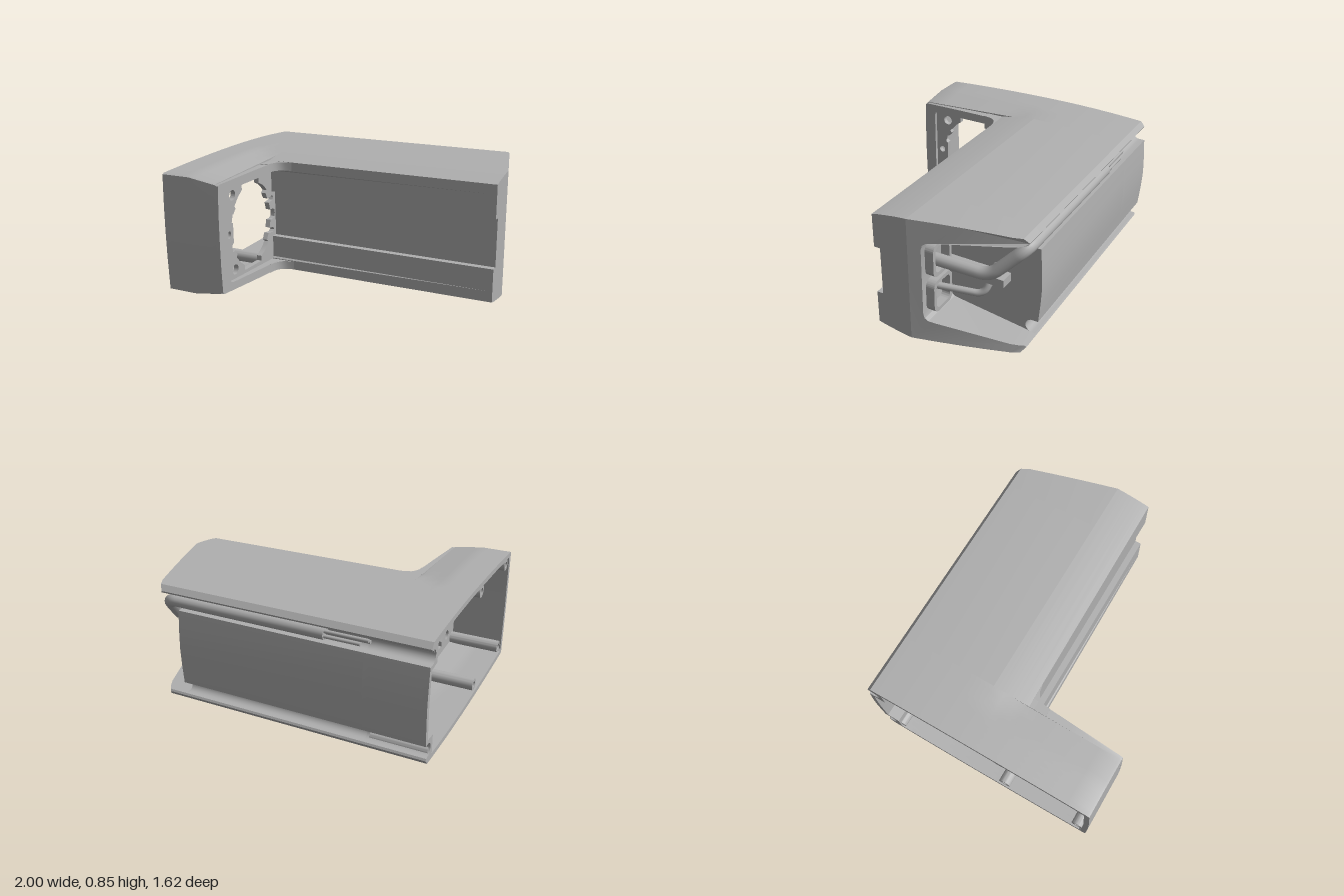
import * as THREE from 'three';
import { toCreasedNormals } from 'three/addons/utils/BufferGeometryUtils.js';

const H = 0.845, MID = H / 2;
const clamp = THREE.MathUtils.clamp;

// Gently crowned roof height, and the bevel along the inner corner of the L
const roof = z => H - 0.027 * ((z + 0.1) / (z > -0.1 ? 0.9 : 0.67)) ** 2;
const slope = z => clamp((z + 0.1) / 0.24, 0, 1) ** 1.3;
const bevel = (x, z) => 0.035 * Math.min(clamp((x + 0.8) / 0.22, 0, 1), slope(z));

// Slanted outline of the free end, rounded at the back corner
const endX = z => z > -0.1 ? 1 : z > -0.7 ? 1 - 0.155 * (-0.1 - z) / 0.6 : 0.845 - 0.05 * ((-0.7 - z) / 0.085) ** 1.5;

// Closes an upper half outline, which starts and ends at mid height, with its mirror image
const mirrored = half => half.concat(half.slice(1, -1).reverse().map(([z, y]) => [z, H - y]));
const path = (pts, P = THREE.Shape) => new P(pts.map(([z, y]) => new THREE.Vector2(-z, y)).reverse());
const hole = (z, y, r) => new THREE.Path().absarc(-z, y, r, 0, Math.PI * 2, true);

function moveVertices(geo, rule) {
  const p = geo.attributes.position, v = new THREE.Vector3();
  for (let i = 0; i < p.count; i++) {
    v.fromBufferAttribute(p, i);
    rule(v);
    p.setXYZ(i, v.x, v.y, v.z);
  }
  geo.computeVertexNormals();
  return geo;
}

// Sweeps a (z, y) section along x
function sweepX(shape, x0, x1, rule, steps = 1) {
  const g = new THREE.ExtrudeGeometry(shape, { depth: x1 - x0, steps, bevelEnabled: false, curveSegments: 16 });
  g.rotateY(Math.PI / 2).translate(x0, 0, 0);
  if (rule) moveVertices(g, rule);
  return toCreasedNormals(g, 0.5);
}

// Straight runs joined by rounded bends
function bentPath(pts, r) {
  const v = pts.map(p => new THREE.Vector3(...p)), c = new THREE.CurvePath();
  let from = v[0];
  for (let i = 1; i < v.length - 1; i++) {
    const a = v[i].clone().add(v[i - 1].clone().sub(v[i]).setLength(r));
    const b = v[i].clone().add(v[i + 1].clone().sub(v[i]).setLength(r));
    c.add(new THREE.LineCurve3(from, a));
    c.add(new THREE.QuadraticBezierCurve3(a, v[i], b));
    from = b;
  }
  c.add(new THREE.LineCurve3(from, v[v.length - 1]));
  return c;
}

export function createModel() {
  const model = new THREE.Group();
  const grey = new THREE.MeshStandardMaterial({ color: 0xb0b0b0 });
  grey.name = 'grey';
  const add = (name, geo) => {
    const m = new THREE.Mesh(geo, grey);
    m.name = name;
    model.add(m);
    return m;
  };

  const backRoof = [-0.1, -0.25, -0.4, -0.55, -0.7, -0.755].map(z => [z, roof(z)]);
  const frontRoof = [0.785, 0.65, 0.5, 0.35, 0.25, 0.14, 0.06, -0.02].map(z => [z, roof(z)]);
  // Back lip, round groove and bowed panel
  const lip = [[-0.783, 0.785], [-0.776, 0.772]];
  const groove = [];
  for (let i = 0; i <= 10; i++) {
    const a = Math.PI / 2 - Math.PI * i / 10;
    groove.push([-0.755 + 0.045 * Math.cos(a), 0.725 + 0.045 * Math.sin(a)]);
  }
  const backHalf = [...lip, ...groove, [-0.793, 0.68], [-0.804, 0.55], [-0.81, MID]];

  // Hollow, open ended arm housing
  const housing = path(mirrored([[0.81, MID], [0.808, 0.6], [0.8, 0.812], ...frontRoof, ...backRoof, ...backHalf]));
  housing.holes.push(path(mirrored([[0.775, MID], [0.765, 0.77], [0.75, 0.785], [0.45, 0.8], [0.14, 0.808],
    [-0.1, 0.812], [-0.4, 0.806], [-0.68, 0.79], [-0.68, 0.66], [-0.765, 0.65], [-0.775, MID]]), THREE.Path));
  add('armHousing', sweepX(housing, -1, -0.6, v => { v.y -= bevel(v.x, v.z) * (v.y - MID) / MID; }, 10));

  // Screw bosses inside the housing
  for (const [z, y] of [[0.73, 0.74], [0.16, 0.762], [-0.69, 0.77]]) {
    for (const yy of [y, H - y]) {
      const ring = new THREE.Shape().absarc(-z, yy, 0.042, 0, Math.PI * 2);
      ring.holes.push(hole(z, yy, 0.022));
      add('screwBoss', sweepX(ring, -0.99, -0.62));
    }
  }

  // Notched opening plate across the inside of the housing
  const plate = path(mirrored([[0.79, MID], [0.78, 0.76], [0.15, 0.79], [-0.1, 0.82], [-0.69, 0.8],
    [-0.69, 0.67], [-0.78, 0.66], [-0.78, MID]]));
  const notches = [[0.105, 0], [0.11, 0.025], [0.13, 0.037], [0.165, 0.037], [0.18, 0.09], [0.13, 0.1],
    [0.12, 0.12], [0.137, 0.133], [0.197, 0.125], [0.22, 0.168], [0.2, 0.185], [0.225, 0.212], [0.26, 0.24],
    [0.302, 0.26], [0.302, 0.295], [0.507, 0.295], [0.507, 0.26], [0.555, 0.225], [0.6, 0.175], [0.59, 0.155],
    [0.615, 0.125], [0.64, 0.125], [0.645, 0.08], [0.625, 0.065], [0.625, 0]];
  plate.holes.push(path(mirrored(notches.map(([z, y]) => [z, MID + y])), THREE.Path));
  plate.holes.push(hole(0.62, 0.675, 0.034), hole(0.675, MID, 0.024), hole(0.62, H - 0.675, 0.034));
  add('openingPlate', sweepX(plate, -0.635, -0.6));

  // Raised frame around the opening, sloping outward towards the corner
  const frame = path(mirrored([[0.81, MID], [0.808, 0.6], [0.8, 0.778], [0.785, 0.785], [0.45, 0.799],
    [0.15, 0.808], [0.15, 0.75], [0.69, 0.735], [0.712, 0.728], [0.72, 0.705], [0.72, MID]]));
  add('openingFrame', sweepX(frame, -0.605, -0.58, v => {
    if (v.x > -0.59) v.x = -0.58 + (0.8 - Math.min(v.z, 0.8)) * 0.065;
  }));

  // Rounded inner corner of the top and bottom lips
  const fillet = new THREE.Shape([[-0.6, 0.13], [-0.6, 0.27], [-0.545, 0.27], [-0.54, 0.23], [-0.527, 0.197],
    [-0.505, 0.172], [-0.475, 0.158], [-0.43, 0.15], [-0.43, 0.13]].map(([x, z]) => new THREE.Vector2(x, -z)));
  for (const y of [0.75, H - 0.807]) {
    const g = new THREE.ExtrudeGeometry(fillet, { depth: 0.057, bevelEnabled: false });
    g.rotateX(-Math.PI / 2).translate(0, y, 0);
    add('cornerFillet', toCreasedNormals(g, 0.6));
  }

  // Front of the long beam with its channel, and a panel that runs out towards the free end
  const frontSlope = [0.15, 0.1, 0.05, 0, -0.05, -0.1].map(z => [z, H - 0.037 * ((z + 0.1) / 0.25) ** 1.3]);
  add('beamFront', sweepX(path(mirrored([[0.095, MID], [0.095, 0.585], [0.138, 0.585], [0.138, 0.735],
    [0.15, 0.745], ...frontSlope, [-0.1, MID]])), -0.6, 1, v => { if (v.x > 0.9 && v.z > 0.12) v.z = 0.138; }));

  // Back of the long beam with grooves and panel
  add('beamBack', sweepX(path(mirrored([[-0.1, MID], ...backRoof, ...backHalf])), -0.6, 0.67));

  // Slanted free end with a pocket between its two jaws
  const jaws = path(mirrored([[-0.1, MID], ...backRoof, ...lip, [-0.755, 0.768],
    [-0.7, 0.76], [-0.25, 0.705], [-0.21, 0.698], [-0.188, 0.68], [-0.18, 0.65], [-0.18, MID]]));
  add('beamEnd', sweepX(jaws, 0.67, 1, v => { if (v.x > 0.9) v.x = endX(v.z); }));

  // Connector sockets on the pocket wall
  const roundRect = (P, w, h, r) => {
    const s = new P();
    [[1, 1, 0], [-1, 1, 1], [-1, -1, 2], [1, -1, 3]].forEach(([a, b, q]) =>
      s.absarc(a * (w - r), b * (h - r), r, q * Math.PI / 2, (q + 1) * Math.PI / 2));
    return s;
  };
  for (const y of [0.3, 0.552]) {
    const s = roundRect(THREE.Shape, 0.1, 0.113, 0.05);
    s.holes.push(roundRect(THREE.Path, 0.075, 0.088, 0.035));
    const g = new THREE.ExtrudeGeometry(s, { depth: 0.06, bevelEnabled: false });
    g.translate(0.84, y, -0.238);
    add('connectorSocket', toCreasedNormals(g, 0.5));
  }

  // Long cable, leaving the pocket and following the upper groove
  const cable = bentPath([[0.84, 0.515, -0.18], [0.83, 0.515, -0.55], [0.77, 0.727, -0.755], [-0.34, 0.727, -0.755]], 0.07);
  add('longCable', new THREE.TubeGeometry(cable, 120, 0.04, 14));
  const cableEnd = new THREE.CircleGeometry(0.04, 14);
  cableEnd.rotateY(-Math.PI / 2).translate(-0.34, 0.727, -0.755);
  add('cableEnd', cableEnd);
  [[0.745, -0.765, -0.62], [0.715, -0.77, -0.57], [0.727, -0.74, -0.62]].forEach(([y, z, x]) => {
    const g = new THREE.CylinderGeometry(0.012, 0.012, -0.34 - x, 8);
    g.rotateZ(Math.PI / 2).translate((x - 0.34) / 2, y, z);
    add('cableWire', g);
  });

  // Short cable looping under the guide rib
  const shortCable = bentPath([[0.82, 0.31, -0.18], [0.76, 0.31, -0.47], [0.72, 0.41, -0.505], [0.65, 0.49, -0.505]], 0.053);
  add('shortCable', new THREE.TubeGeometry(shortCable, 48, 0.022, 12));
  const rib = new THREE.BoxGeometry(0.1, 0.055, 0.42);
  rib.translate(0.715, 0.428, -0.395);
  add('guideRib', rib);

  return model;
}
